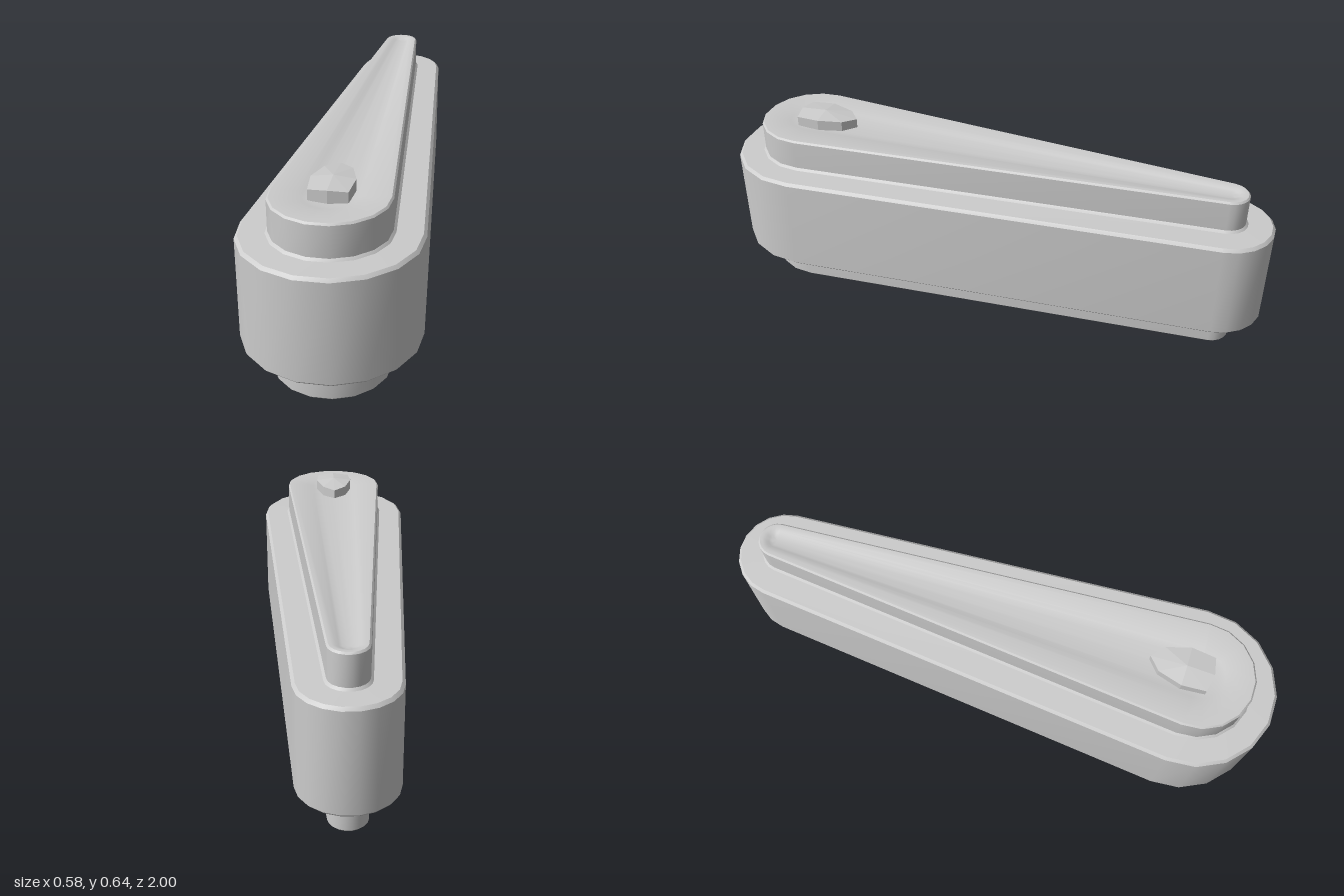
import * as THREE from 'three';
import { toCreasedNormals } from 'three/addons/utils/BufferGeometryUtils.js';
import { ConvexGeometry } from 'three/addons/geometries/ConvexGeometry.js';

const R_FRONT = 0.29, R_BACK = 0.165;    // end radii of the tapered outline
const Z_FRONT = 0.714, Z_BACK = -0.838;  // centres of the two rounded ends
const SEGMENTS = 9;
const TILT = Math.asin((R_FRONT - R_BACK) / (Z_FRONT - Z_BACK));

// Tapered outline with a wide round front and a narrow round back
function outline(rf, rb, y) {
  const points = [];
  const arc = (r, z, from, to) => {
    for (let i = 0; i <= SEGMENTS; i++) {
      const a = from + (to - from) * i / SEGMENTS;
      points.push(new THREE.Vector3(r * Math.cos(a), y, z + r * Math.sin(a)));
    }
  };
  arc(rf, Z_FRONT, -TILT, Math.PI + TILT);
  arc(rb, Z_BACK, Math.PI + TILT, 2 * Math.PI - TILT);
  return points;
}

// Skin between stacked outlines, listed from bottom to top
function loft(loops) {
  const positions = [];
  const tri = new THREE.Triangle();
  const add = (a, b, c) => {
    tri.set(a, b, c);
    if (tri.getArea() > 1e-9) for (const p of [a, b, c]) positions.push(p.x, p.y, p.z);
  };
  for (let k = 0; k < loops.length - 1; k++) {
    const low = loops[k], high = loops[k + 1], n = low.length;
    for (let i = 0; i < n; i++) {
      const j = (i + 1) % n;
      add(low[i], high[i], low[j]);
      add(low[j], high[i], high[j]);
    }
  }
  const geometry = new THREE.BufferGeometry();
  geometry.setAttribute('position', new THREE.Float32BufferAttribute(positions, 3));
  return toCreasedNormals(geometry, 0.6);
}

export function createModel() {
  const group = new THREE.Group();
  const material = new THREE.MeshStandardMaterial({ color: 0xcccccc });
  const add = (name, geometry) => {
    const mesh = new THREE.Mesh(geometry, material);
    mesh.name = name;
    group.add(mesh);
  };

  // Stepped body: [inset from the widest outline, height]
  const steps = [
    [0.107, 0], [0.1, 0.007], [0.1, 0.113], [0.092, 0.121],
    [0.01, 0.123], [0, 0.133], [0, 0.476], [0.01, 0.486],
    [0.092, 0.488], [0.1, 0.496], [0.1, 0.6], [0.106, 0.606],
  ].map(([inset, y]) => outline(R_FRONT - inset, R_BACK - inset, y));

  // Shallow tapered groove in the top: [front radius, back radius, height]
  const groove = [
    [0.17, 0.05, 0.606], [0.105, 0.036, 0.603], [0.085, 0.028, 0.599],
    [0.06, 0.018, 0.596], [0, 0, 0.595],
  ].map(row => outline(...row));

  add('steppedBody', loft([outline(0, 0, 0), ...steps, ...groove]));

  // Raised pointed marker: [half width, z, top height]
  const marker = [
    [0, 0.757, 0.638], [0.062, 0.746, 0.632], [0.07, 0.66, 0.636],
    [0.045, 0.575, 0.632], [0, 0.535, 0.628],
  ];
  const corners = [new THREE.Vector3(0, 0.645, 0.66)];
  for (const [x, z, top] of marker) {
    for (const side of x ? [-1, 1] : [1]) {
      for (const y of [0.59, top]) corners.push(new THREE.Vector3(side * x, y, z));
    }
  }
  add('marker', new ConvexGeometry(corners));

  return group;
}
